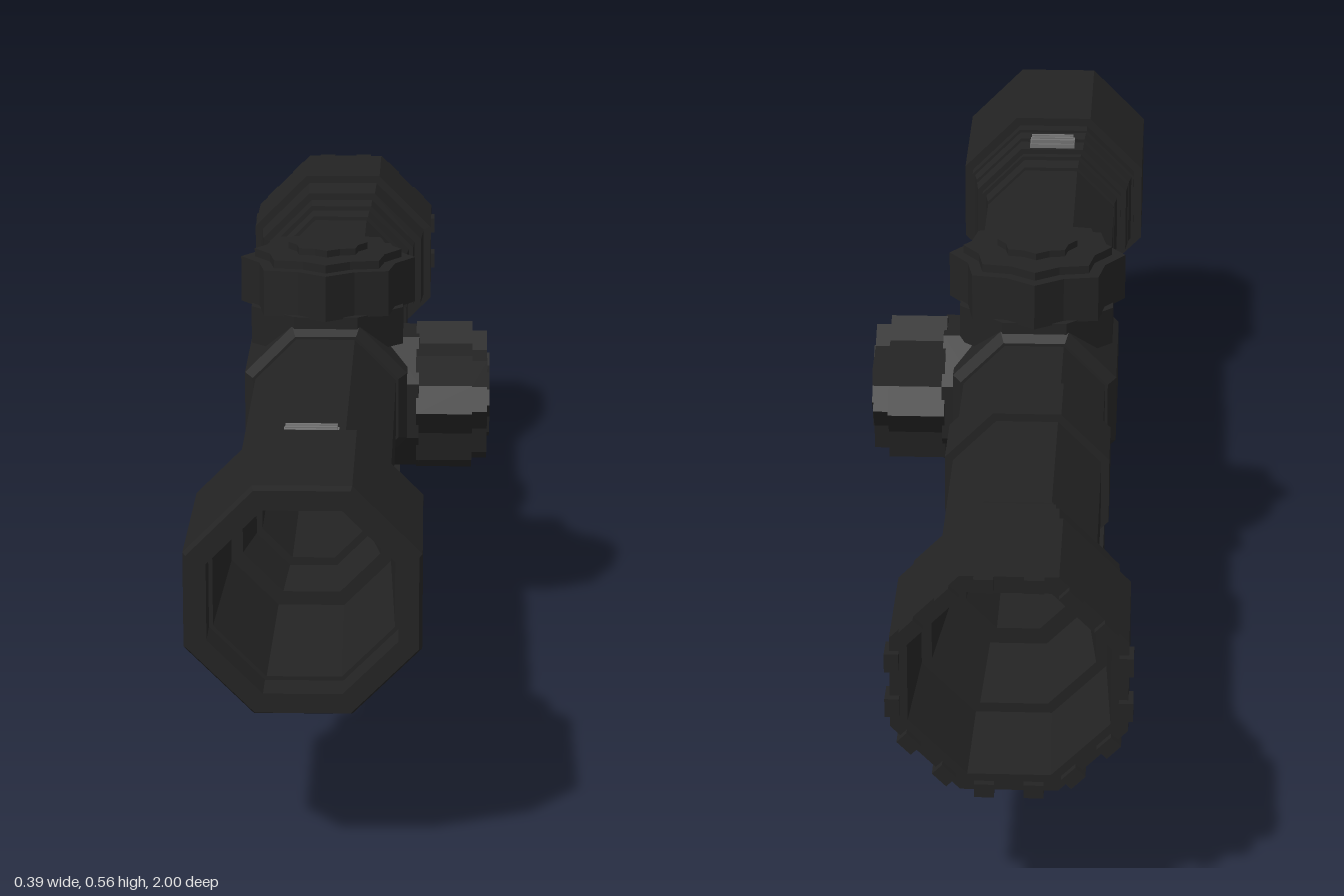
import * as THREE from 'three';

const CX = -0.044, CY = 0.346; // optical axis

export function createModel() {
  const model = new THREE.Group();
  const black = new THREE.MeshStandardMaterial({ color: 0x232323, flatShading: true });
  black.name = 'matte black';
  const grey = new THREE.MeshStandardMaterial({ color: 0x727272, flatShading: true });
  grey.name = 'steel grey';

  const add = (name, geo, mat = black, parent = model) => {
    const mesh = new THREE.Mesh(geo, mat);
    mesh.name = name;
    parent.add(mesh);
    return mesh;
  };
  // box from its limits on each axis
  const box = (name, x0, x1, y0, y1, z0, z1, mat = black) => {
    const mesh = add(name, new THREE.BoxGeometry(x1 - x0, y1 - y0, z1 - z0), mat);
    mesh.position.set((x0 + x1) / 2, (y0 + y1) / 2, (z0 + z1) / 2);
    return mesh;
  };
  // hollow octagonal body along z; pairs are [z, half-width across flats]
  const octagon = (name, profile) => {
    const pts = [...profile, profile[0]].map(([z, a]) => new THREE.Vector2(a / Math.cos(Math.PI / 8), z));
    const geo = new THREE.LatheGeometry(pts, 8, Math.PI / 8).rotateX(Math.PI / 2);
    add(name, geo).position.set(CX, CY, 0);
  };

  // Main tube with the stepped rear bell
  octagon('mainTube', [
    [-0.99, 0.148], [-0.82, 0.148], [-0.82, 0.136], [-0.755, 0.132], [-0.755, 0.121],
    [-0.715, 0.119], [-0.715, 0.112], [-0.685, 0.108], [-0.685, 0.102], [0.605, 0.102],
    [0.605, 0.068], [-0.7, 0.068], [-0.7, 0.09], [-0.84, 0.105], [-0.84, 0.118], [-0.99, 0.126],
  ]);
  // Narrow collar in front of the tube
  octagon('collar', [
    [0.617, 0.103], [0.642, 0.107], [0.642, 0.113], [0.655, 0.113], [0.655, 0.121],
    [0.683, 0.124], [0.683, 0.09], [0.617, 0.075],
  ]);
  // Front bell
  octagon('frontBell', [
    [0.696, 0.125], [0.715, 0.129], [0.715, 0.133], [0.738, 0.133], [0.738, 0.146],
    [0.99, 0.147], [1, 0.143], [1, 0.118], [0.95, 0.118], [0.95, 0.113], [0.696, 0.104],
  ]);
  box('frontBellLug', CX - 0.04, CX + 0.04, 0.184, 0.21, 0.85, 0.935);
  // Clamp band and turret saddle
  octagon('clampBand', [[-0.41, 0.113], [-0.3, 0.113], [-0.3, 0.095], [-0.41, 0.095]]);
  octagon('turretSaddle', [
    [-0.14, 0.106], [-0.125, 0.118], [0.09, 0.118], [0.105, 0.106], [0.105, 0.095], [-0.14, 0.095],
  ]);

  // Teeth round the rear rim, two on each flat
  const teeth = new THREE.Group();
  teeth.name = 'rearRimTeeth';
  teeth.position.set(CX, CY, 0);
  model.add(teeth);
  for (let i = 0; i < 8; i++) {
    const face = new THREE.Group();
    face.rotation.z = i * Math.PI / 4;
    teeth.add(face);
    const lower = i >= 2 && i <= 6;
    for (const s of [-1, 1]) {
      add('rimTooth', new THREE.BoxGeometry(0.025, 0.018, 0.035), black, face)
        .position.set(s * 0.031, lower ? 0.145 : 0.139, -0.9825);
    }
  }

  // Fluted knobs: eight-lobed star layers stacked along +y, [y0, y1, radius]
  const knob = (name, layers) => {
    const group = new THREE.Group();
    group.name = name;
    model.add(group);
    for (const [y0, y1, r] of layers) {
      const pts = [];
      for (let i = 0; i < 16; i++) {
        const a = i * Math.PI / 8, k = i % 2 ? r * 0.84 : r;
        pts.push(new THREE.Vector2(k * Math.cos(a), k * Math.sin(a)));
      }
      const geo = new THREE.ExtrudeGeometry(new THREE.Shape(pts), { depth: y1 - y0, bevelEnabled: false });
      add(name + 'Layer', geo.rotateX(-Math.PI / 2).translate(0, y0, 0), black, group);
    }
    return group;
  };
  const neck = (name, r, h, parent) => {
    const geo = new THREE.CylinderGeometry(r, r, h, 8, 1, false, Math.PI / 8);
    return add(name, geo, black, parent);
  };
  const topKnob = knob('topKnob', [[0.13, 0.197, 0.128], [0.197, 0.209, 0.108], [0.209, 0.219, 0.058]]);
  topKnob.position.set(CX, CY, -0.017);
  neck('topNeck', 0.12, 0.055, topKnob).position.y = 0.105;
  const sideKnob = knob('sideKnob', [[0.131, 0.213, 0.112], [0.213, 0.235, 0.098], [0.235, 0.239, 0.064]]);
  sideKnob.position.set(CX, 0.333, -0.022);
  sideKnob.rotation.z = -Math.PI / 2;
  neck('sideNeck', 0.106, 0.05, sideKnob).position.y = 0.11;

  // Sight plate set into the collar gap, with ribs
  box('sightPlate', CX - 0.036, CX + 0.036, 0.453, 0.474, 0.66, 0.695, grey);
  for (const z of [0.664, 0.676, 0.688]) {
    box('sightPlateRib', CX - 0.034, CX + 0.034, 0.472, 0.48, z, z + 0.006, grey);
  }
  box('sightPost', CX - 0.012, CX + 0.012, 0.407, 0.42, 0.585, 0.603);

  // Mounting rail
  box('railBase', -0.145, 0.058, 0.076, 0.1, -0.44, 0.41);
  box('railTop', -0.122, 0.037, 0.1, 0.124, -0.425, 0.395);
  // Clamp bracket under the rail
  box('bracketPlate', -0.145, 0.058, 0.056, 0.08, -0.08, 0.05);
  box('bracketLegRight', -0.145, -0.123, 0.012, 0.06, -0.08, 0.05);
  box('bracketLegLeft', 0.036, 0.058, 0.012, 0.06, -0.08, 0.05);
  box('bracketBlock', -0.1, 0.013, 0.035, 0.06, -0.05, 0.02);

  // Two stepped feet joining rail and tube
  for (const z of [0.315, -0.345]) {
    box('footBase', -0.133, 0.047, 0.112, 0.142, z - 0.056, z + 0.056);
    box('footStep', -0.122, 0.036, 0.142, 0.158, z - 0.048, z + 0.048);
    box('footWaist', -0.133, 0.047, 0.158, 0.18, z - 0.038, z + 0.038);
    box('footCradle', -0.11, 0.022, 0.18, 0.24, z - 0.054, z + 0.054);
    for (const s of [-1, 1]) {
      const jaw = box('footJaw', CX - 0.022, CX + 0.022, 0.2, 0.225, z - 0.05, z + 0.05);
      jaw.position.x += s * 0.05;
      jaw.rotation.z = s * Math.PI / 4;
    }
  }

  // Clamp bolt: two overlaid squares form an eight-pointed head
  for (const turn of [0, Math.PI / 4]) {
    const head = add('clampBolt', new THREE.CylinderGeometry(0.033, 0.033, 0.022 - turn * 0.003, 4), grey);
    head.geometry.rotateY(turn).rotateZ(Math.PI / 2);
    head.position.set(0.069, 0.033, -0.016);
  }
  return model;
}
